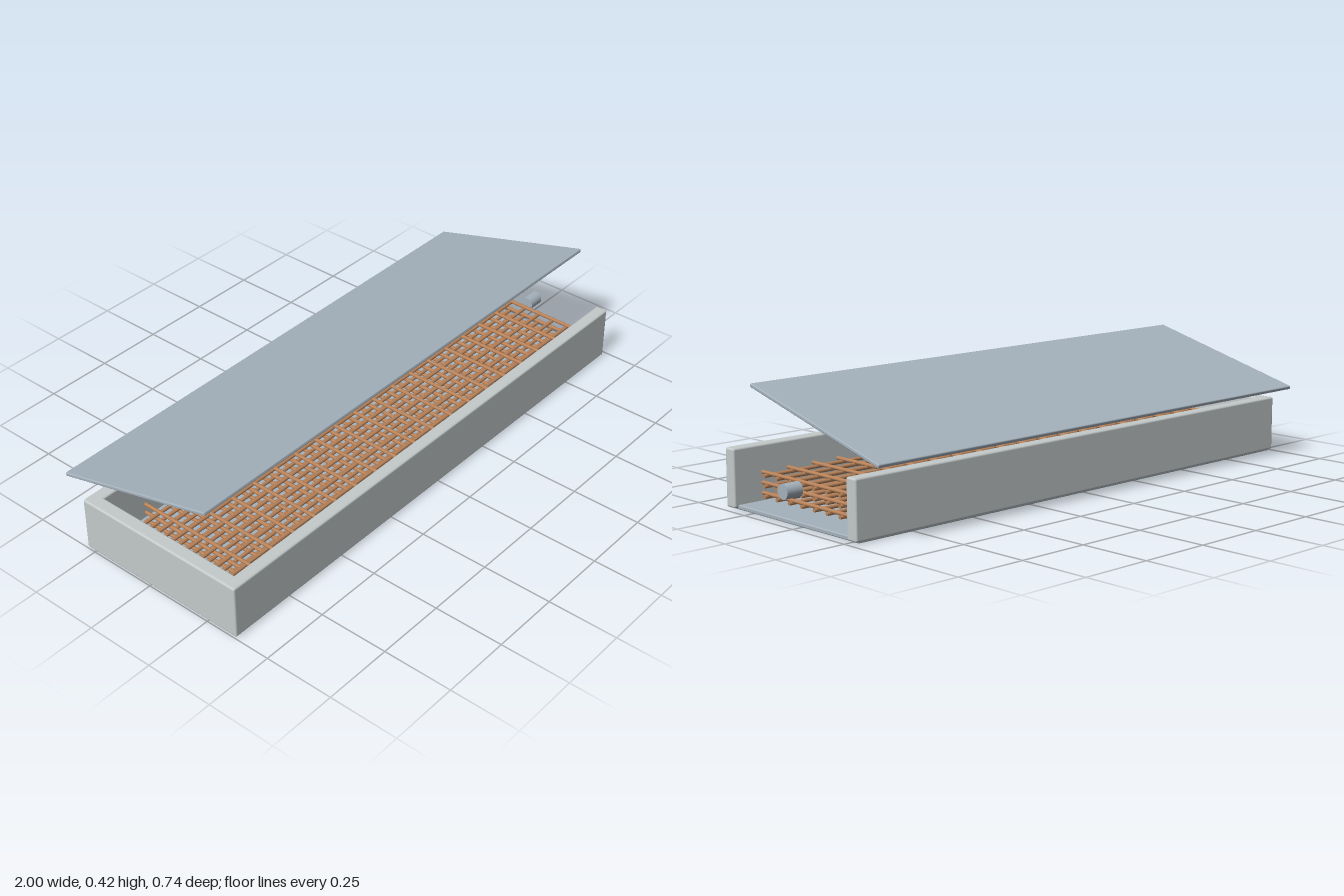
import * as THREE from 'three';
import { RoundedBoxGeometry } from 'three/addons/geometries/RoundedBoxGeometry.js';

export function createModel() {
  const model = new THREE.Group();
  model.name = 'reinforcedTray';

  const mat = (name, color) => {
    const m = new THREE.MeshStandardMaterial({ color });
    m.name = name;
    return m;
  };
  const paleGrey = mat('pale grey', 0xc4caca);
  const steel = mat('blue grey steel', 0xa5b2bc);
  const copper = mat('copper', 0xb9835a);

  const add = (parent, name, geometry, material, x, y, z) => {
    const mesh = new THREE.Mesh(geometry, material);
    mesh.name = name;
    mesh.position.set(x, y, z);
    parent.add(mesh);
    return mesh;
  };
  const slab = (w, h, d, r) => new RoundedBoxGeometry(w, h, d, 3, r);

  // Tray: floor plate, two long walls and one end wall; the +x end is open
  const MID_Z = 0.045;
  add(model, 'floorPlate', slab(1.95, 0.015, 0.643, 0.004), steel, -0.01, 0.0075, MID_Z);
  for (const [name, side] of [['frontWall', 1], ['backWall', -1]]) {
    add(model, name, slab(1.98, 0.195, 0.045, 0.007), paleGrey, -0.01, 0.1025, MID_Z + side * 0.305);
  }
  add(model, 'endWall', slab(0.05, 0.195, 0.65, 0.007), paleGrey, -0.975, 0.1025, MID_Z);

  // Three stacked layers of rod mesh
  const R = 0.0065;
  const longRod = new THREE.CylinderGeometry(R, R, 1.857, 12).rotateZ(Math.PI / 2);
  const crossRod = new THREE.CylinderGeometry(R, R, 0.468, 12).rotateX(Math.PI / 2);
  for (let layer = 0; layer < 3; layer++) {
    const grid = new THREE.Group();
    grid.name = `rodLayer${layer + 1}`;
    grid.position.y = 0.0535 + layer * 0.0342;
    for (let i = 0; i < 7; i++) {
      add(grid, 'longRod', longRod, copper, -0.0115, -0.008, 0.253 - i * 0.0635);
    }
    for (let i = 0; i < 19; i++) {
      add(grid, 'crossRod', crossRod, copper, -0.925 + i * 0.1015, 0, 0.046);
    }
    model.add(grid);
  }

  // Short pipe stub at the open end
  const stub = new THREE.CylinderGeometry(0.025, 0.025, 0.06, 32).rotateZ(Math.PI / 2);
  add(model, 'pipeStub', stub, steel, 0.97, 0.11, 0.046);

  // Raised lid, tilted up toward the front
  const lid = add(model, 'lid', slab(1.95, 0.013, 0.643, 0.004), steel, -0.01, 0.3305, -0.061);
  lid.rotation.x = -THREE.MathUtils.degToRad(15);

  return model;
}
